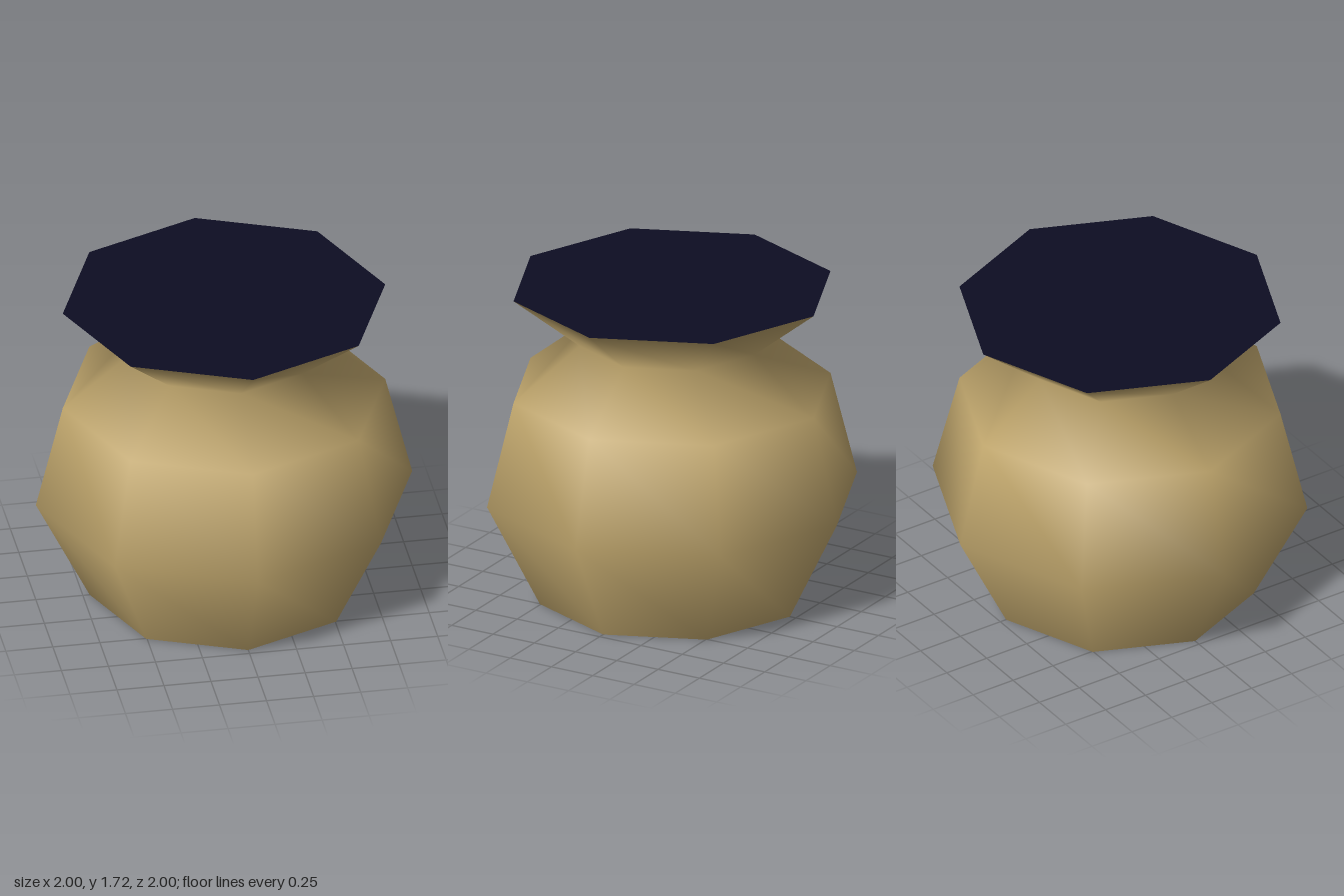
import * as THREE from 'three';

const SIDES = 8;

export function createModel() {
  const clay = new THREE.MeshStandardMaterial({ color: 0xc2a86e });
  clay.name = 'tan clay';
  const dark = new THREE.MeshStandardMaterial({ color: 0x0d0d22 });
  dark.name = 'dark navy';

  const group = new THREE.Group();
  group.name = 'pot';

  const add = (name, geometry, material) => {
    const mesh = new THREE.Mesh(geometry, material);
    mesh.name = name;
    group.add(mesh);
    return mesh;
  };

  // Eight-sided wall: foot, belly, shoulder, neck, rim
  const profile = [
    [0.714, 0], [1, 0.572], [0.857, 1.143], [0.5, 1.429], [0.857, 1.715],
  ].map(([r, y]) => new THREE.Vector2(r, y));
  add('wall', new THREE.LatheGeometry(profile, SIDES), clay);

  // Flat base, facing down
  add('base', new THREE.CircleGeometry(0.714, SIDES), clay).rotation.x = Math.PI / 2;

  // Dark contents, level with the rim
  const contents = add('contents', new THREE.CircleGeometry(0.857, SIDES), dark);
  contents.rotation.x = -Math.PI / 2;
  contents.position.y = 1.715;

  return group;
}
